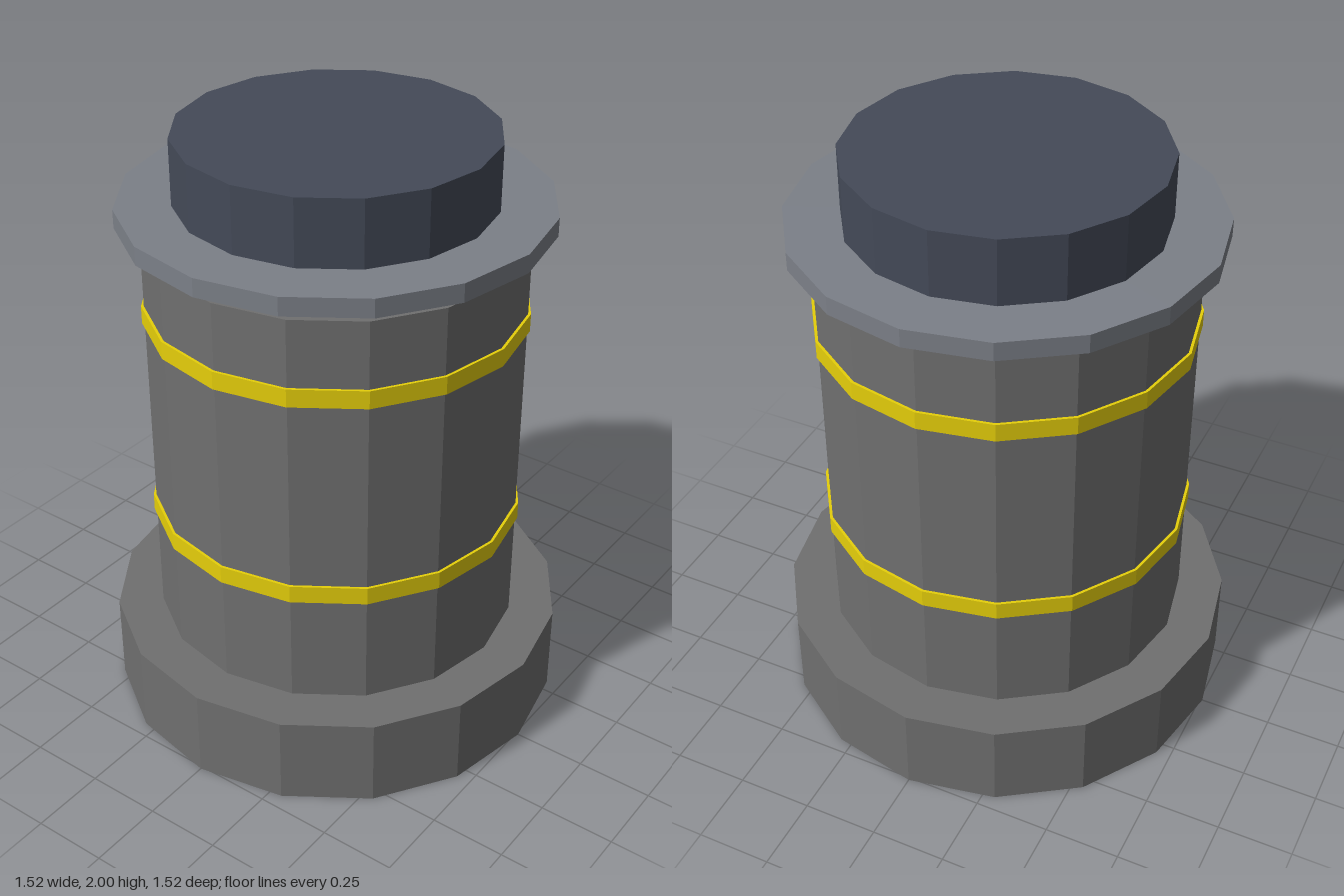
import * as THREE from 'three';

const SIDES = 16;

// Faceted drum between two heights
function drum(name, radius, bottom, top, color) {
  const geometry = new THREE.CylinderGeometry(radius, radius, top - bottom, SIDES);
  const material = new THREE.MeshStandardMaterial({ color, flatShading: true });
  const mesh = new THREE.Mesh(geometry, material);
  mesh.name = name;
  mesh.position.y = (bottom + top) / 2;
  return mesh;
}

export function createModel() {
  const group = new THREE.Group();
  group.name = 'canister';

  // Wide foot and main body
  group.add(drum('base', 0.76, 0, 0.305, 0x707070));
  group.add(drum('body', 0.608, 0.305, 1.672, 0x707070));

  // Yellow bands around the body
  [['lowerBand', 0.712], ['upperBand', 1.42]].forEach(([name, y]) => {
    group.add(drum(name, 0.617, y - 0.03, y + 0.03, 0xe6cf0a));
  });

  // Flange floating just above the body, with the dark cap on it
  group.add(drum('flange', 0.683, 1.722, 1.783, 0x7c8088));
  group.add(drum('cap', 0.506, 1.783, 2, 0x444a58));

  return group;
}
